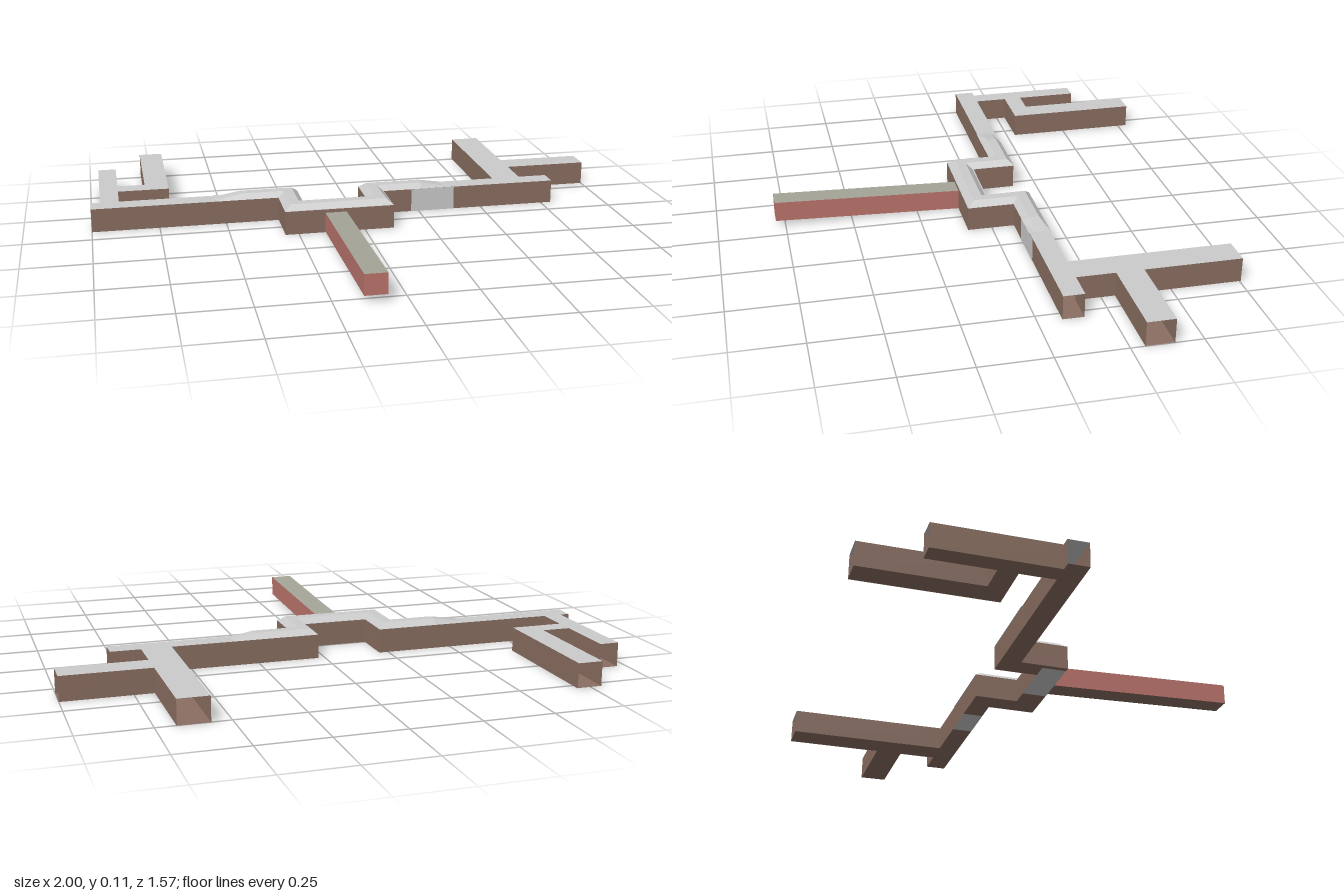
import * as THREE from 'three';

const H = 0.089; // corridor height

function material(name, color) {
  const m = new THREE.MeshStandardMaterial({ color, side: THREE.DoubleSide, flatShading: true });
  m.name = name;
  return m;
}

// Flat geometry from a list of four-cornered faces
function quads(list) {
  const pos = [];
  for (const [a, b, c, d] of list) pos.push(...a, ...b, ...c, ...a, ...c, ...d);
  const g = new THREE.BufferGeometry();
  g.setAttribute('position', new THREE.Float32BufferAttribute(pos, 3));
  g.computeVertexNormals();
  return g;
}

// Corridor plan as x, z; a third value marks an edge that starts an open end
const plan = [
  [-1, -0.085, 1], [-1, -0.16], [-0.965, -0.16],
  [-0.965, -0.59, 1], [-0.895, -0.59], [-0.895, -0.355], [-0.79, -0.355],
  [-0.79, -0.785, 1], [-0.7, -0.785], [-0.7, -0.285], [-0.895, -0.285], [-0.895, -0.16],
  [-0.215, -0.16], [-0.215, 0], [0.025, 0], [0.025, -0.16], [0.57, -0.16],
  [0.57, -0.755, 1], [0.68, -0.755], [0.68, -0.4],
  [1, -0.4, 1], [1, -0.3], [0.68, -0.3], [0.68, -0.16],
  [0.79, -0.16, 1], [0.79, -0.085], [0.11, -0.085],
  [0.11, 0.09], [-0.3, 0.09], [-0.3, -0.085],
];

// Walls follow the plan, leaving the corridor ends open
function wallGeometry() {
  const faces = [];
  plan.forEach(([x, z, open], i) => {
    if (open) return;
    const [u, w] = plan[(i + 1) % plan.length];
    faces.push([[u, 0, w], [x, 0, z], [x, H, z], [u, H, w]]);
  });
  return quads(faces);
}

// Bevelled raised roof swept along the middle passage with mitred corners
function ridgeGeometry() {
  const path = [[-0.54, -0.122], [-0.44, -0.122], [-0.258, -0.122], [-0.258, 0.045],
    [0.068, 0.045], [0.068, -0.122], [0.26, -0.122], [0.345, -0.122]];
  const last = path.length - 1;
  const normal = (i) => {
    const [a, b] = [path[i], path[i + 1]];
    const l = Math.hypot(b[0] - a[0], b[1] - a[1]);
    return [-(b[1] - a[1]) / l, (b[0] - a[0]) / l];
  };
  const rings = path.map(([x, z], i) => {
    const n = normal(Math.max(0, i - 1));
    const m = normal(Math.min(last - 1, i));
    const k = 1 + n[0] * m[0] + n[1] * m[1];
    const top = i === 0 || i === last ? H + 0.003 : 0.109;
    return [[0.04, H + 0.001], [0.018, top], [-0.018, top], [-0.04, H + 0.001]].map(([d, y]) =>
      [x + (d * (n[0] + m[0])) / k, y, z + (d * (n[1] + m[1])) / k]);
  });
  const faces = [];
  for (let i = 0; i < last; i++) {
    for (let j = 0; j < 3; j++) {
      faces.push([rings[i][j], rings[i + 1][j], rings[i + 1][j + 1], rings[i][j + 1]]);
    }
  }
  return quads(faces);
}

// Horizontal rectangle
const slab = (x0, x1, z0, z1, y) =>
  quads([[[x0, y, z1], [x1, y, z1], [x1, y, z0], [x0, y, z0]]]);

export function createModel() {
  const group = new THREE.Group();
  const brown = material('wall brown', 0x8b6f62);
  const grey = material('ceiling grey', 0xcbcbcb);
  const red = material('entrance red', 0xbc756d);
  const olive = material('entrance roof grey', 0xa6a598);
  const add = (name, geometry, mat) => {
    const mesh = new THREE.Mesh(geometry, mat);
    mesh.name = name;
    group.add(mesh);
    return mesh;
  };

  // Corridor shell
  const flat = new THREE.ShapeGeometry(
    new THREE.Shape(plan.map(([x, z]) => new THREE.Vector2(x, -z)))).rotateX(-Math.PI / 2);
  add('corridorWalls', wallGeometry(), brown);
  add('corridorFloor', flat, brown).position.y = 0.001;
  add('corridorCeiling', flat, grey).position.y = H;
  add('raisedCeiling', ridgeGeometry(), grey);

  // Pale patches on the passage wall and floor
  const z = -0.084;
  add('paleWallPanel', quads([[[0.22, 0, z], [0.39, 0, z], [0.39, H, z], [0.22, H, z]]]), grey);
  add('paleFloorRight', slab(0.2, 0.36, -0.16, -0.085, 0), grey);
  add('paleFloorMiddle', slab(-0.28, -0.05, 0, 0.09, 0), grey);

  // Sloping entrance passage, rising towards the front
  const [x0, x1, near, far, rise, h] = [-0.15, -0.07, 0.785, 0.09, 0.024, 0.075];
  const a = [x0, rise, near], b = [x1, rise, near], c = [x1, 0.001, far], d = [x0, 0.001, far];
  const up = ([x, y, w]) => [x, y + h, w];
  add('entranceWalls', quads([
    [a, b, up(b), up(a)], [b, c, up(c), up(b)], [d, a, up(a), up(d)],
  ]), red);
  add('entranceRoof', quads([[up(a), up(b), up(c), up(d)]]), olive);
  add('entranceFloor', quads([[d, c, b, a]]), brown);

  return group;
}
